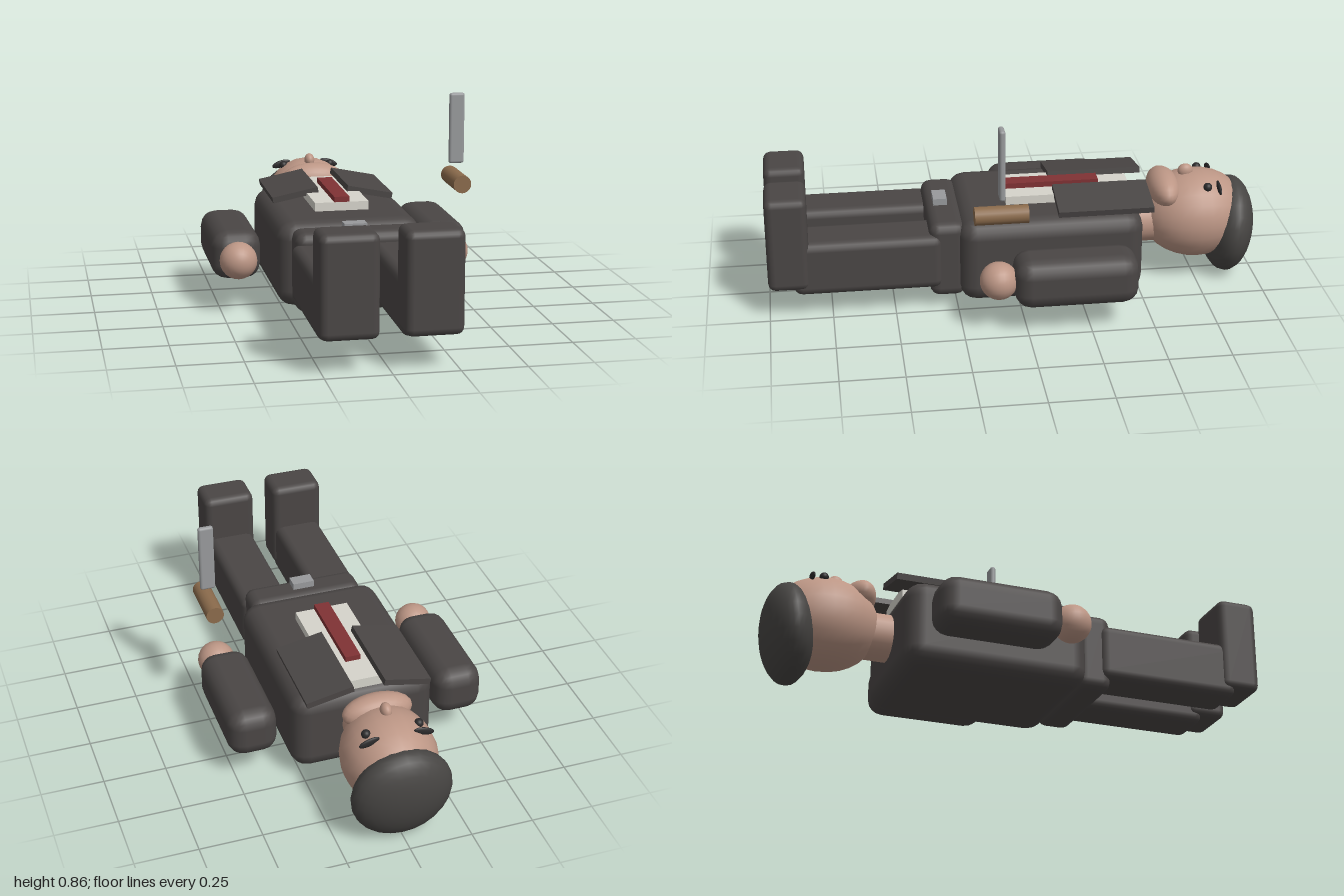
import * as THREE from 'three';
import { RoundedBoxGeometry } from 'three/addons/geometries/RoundedBoxGeometry.js';

const material = (name, color) => {
  const m = new THREE.MeshStandardMaterial({ color });
  m.name = name;
  return m;
};

export function createModel() {
  const model = new THREE.Group();
  model.name = 'lyingFigure';

  const suit = material('charcoal suit', 0x4a4645);
  const skin = material('skin', 0xbc9685);
  const hairMat = material('dark hair', 0x474543);
  const black = material('black', 0x2b2a2b);
  const white = material('shirt white', 0xd6d4cb);
  const red = material('tie red', 0x803234);
  const steel = material('steel', 0x989a9c);
  const wood = material('wood', 0x8b6b4c);

  const add = (name, geometry, mat, x, y, z) => {
    const mesh = new THREE.Mesh(geometry, mat);
    mesh.name = name;
    mesh.position.set(x, y, z);
    model.add(mesh);
    return mesh;
  };
  // Box given by its extents on each axis, with bevelled edges when r > 0
  const box = (name, mat, [x0, x1], [y0, y1], [z0, z1], r = 0) => {
    const size = [x1 - x0, y1 - y0, z1 - z0];
    const geometry = r ? new RoundedBoxGeometry(...size, 2, r) : new THREE.BoxGeometry(...size);
    return add(name, geometry, mat, (x0 + x1) / 2, (y0 + y1) / 2, (z0 + z1) / 2);
  };
  // Ellipsoid with its poles along z
  const ball = (name, mat, [x, y, z], [rx, ry, rz]) => {
    const geometry = new THREE.SphereGeometry(1, 24, 16).rotateX(-Math.PI / 2).scale(rx, ry, rz);
    return add(name, geometry, mat, x, y, z);
  };
  const rod = (name, mat, r, [x, y], [z0, z1]) =>
    add(name, new THREE.CylinderGeometry(r, r, z1 - z0, 20).rotateX(Math.PI / 2), mat, x, y, (z0 + z1) / 2);

  // Body
  box('torso', suit, [-0.29, 0.29], [0.045, 0.39], [-0.495, 0.245], 0.07);
  box('hips', suit, [-0.24, 0.24], [0.058, 0.375], [0.215, 0.36], 0.04);
  rod('neck', skin, 0.095, [0, 0.245], [-0.6, -0.47]);

  // Shirt front, tie and buckle
  box('shirtFront', white, [-0.11, 0.11], [0.385, 0.425], [-0.47, 0.042]);
  box('tie', red, [-0.031, 0.031], [0.42, 0.447], [-0.345, 0.042]);
  box('beltBuckle', steel, [-0.045, 0.045], [0.37, 0.402], [0.273, 0.328]);

  // Head
  ball('head', skin, [0, 0.265, -0.755], [0.185, 0.185, 0.22]);
  ball('jaw', skin, [0, 0.385, -0.622], [0.14, 0.07, 0.066]);
  ball('nose', skin, [0, 0.45, -0.713], [0.022, 0.03, 0.031]);
  ball('hair', hairMat, [0, 0.204, -0.897], [0.2, 0.2, 0.099]).rotation.x = -0.12;

  // Mirrored parts
  for (const s of [1, -1]) {
    const side = s > 0 ? 'left' : 'right';
    const span = (a, b) => (s > 0 ? [a, b] : [-b, -a]);

    box(side + 'Arm', suit, span(0.327, 0.527), [0.118, 0.318], [-0.435, 0.053], 0.065);
    ball(side + 'Hand', skin, [s * 0.432, 0.22, 0.11], [0.075, 0.075, 0.075]);
    box(side + 'Leg', suit, span(0.055, 0.255), [0.105, 0.33], [0.31, 0.9], 0.035);
    box(side + 'Shoe', suit, span(0.045, 0.265), [0.135, 0.525], [0.835, 1], 0.03);

    // Lapel, raised along its inner edge
    box(side + 'Lapel', suit, span(0.06, 0.253), [0.405, 0.43], [-0.535, -0.152]).rotation.z = -s * 0.2;

    ball(side + 'Eye', black, [s * 0.105, 0.417, -0.785], [0.018, 0.018, 0.018]);
    ball(side + 'Brow', black, [s * 0.108, 0.413, -0.832], [0.042, 0.016, 0.008]).rotation.z = -s * 0.3;
  }

  // Knife floating above the left hand
  rod('knifeHandle', wood, 0.036, [0.457, 0.513], [0, 0.207]);
  box('knifeBlade', steel, [0.426, 0.488], [0.58, 0.866], [0.09, 0.113], 0.01);

  return model;
}
